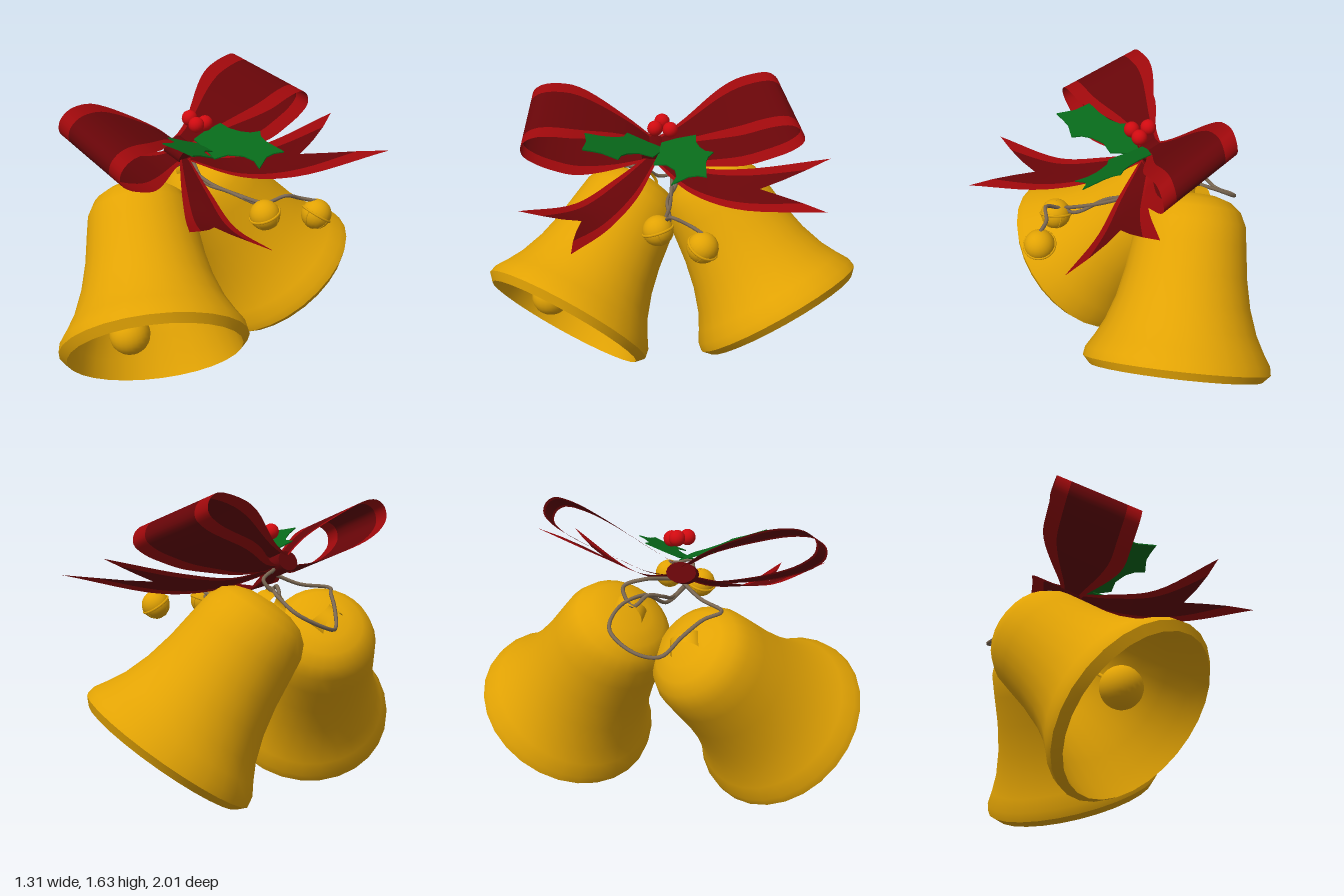
import * as THREE from 'three';
import { toCreasedNormals, mergeGeometries } from 'three/addons/utils/BufferGeometryUtils.js';

const V = (x, y, z) => new THREE.Vector3(x, y, z);
const mat = (color, side = THREE.FrontSide) => {
  const m = new THREE.MeshStandardMaterial({ side });
  m.color.set(color);
  return m;
};
const gold = mat(0xe2a304), goldThin = mat(0xe2a304, THREE.DoubleSide);
const darkRed = mat(0x660508, THREE.DoubleSide), red = mat(0x9c080b, THREE.DoubleSide);
const green = mat(0x08691a), berryRed = mat(0xd00a10), wireGrey = mat(0x7d6a55);

function add(parent, name, geometry, material, position) {
  const mesh = new THREE.Mesh(geometry, material);
  mesh.name = name;
  if (position) mesh.position.copy(position);
  parent.add(mesh);
  return mesh;
}

// Surface patch: point(u, v) with u across and v along
function patch(point, u0, u1, nu, nv) {
  const g = new THREE.PlaneGeometry(1, 1, nu, nv), p = g.attributes.position;
  for (let i = 0; i < p.count; i++) {
    const q = point(u0 + (u1 - u0) * (p.getX(i) + 0.5), p.getY(i) + 0.5);
    p.setXYZ(i, q.x, q.y, q.z);
  }
  g.computeVertexNormals();
  return g;
}

// Ribbon with a dark middle and bright borders
function ribbon(parent, name, point, nv) {
  const borders = [patch(point, 0, 0.17, 1, nv), patch(point, 0.83, 1, 1, nv)];
  add(parent, name + 'Border', mergeGeometries(borders), red);
  add(parent, name + 'Middle', patch(point, 0.17, 0.83, 4, nv), darkRed);
}

function tube(parent, name, pts, radius, material, segments = 70) {
  const curve = new THREE.CatmullRomCurve3(pts.map(p => V(...p)));
  return add(parent, name, new THREE.TubeGeometry(curve, segments, radius, 6), material);
}

// Large bell: mouth at its origin, opening along the given axis
function bell(root, name, mouth, axis, clapper) {
  const g = new THREE.Group();
  g.name = name;
  g.position.copy(mouth);
  axis.normalize();
  g.quaternion.setFromUnitVectors(V(0, -1, 0), axis);
  const outer = [[0.45, -0.035], [0.488, 0.005], [0.48, 0.05], [0.44, 0.115], [0.395, 0.2], [0.35, 0.33], [0.318, 0.48],
    [0.298, 0.64], [0.283, 0.75], [0.25, 0.82], [0.195, 0.865], [0.12, 0.89], [0, 0.9]];
  const inner = [[0, 0.87], [0.11, 0.86], [0.18, 0.835], [0.23, 0.79], [0.26, 0.73], [0.278, 0.63], [0.3, 0.48],
    [0.333, 0.33], [0.38, 0.19], [0.425, 0.07]];
  const profile = [...inner, ...outer].map(p => new THREE.Vector2(...p));
  add(g, 'bellBody', toCreasedNormals(new THREE.LatheGeometry(profile, 28), 0.6), gold);
  // Arched strap on the crown, narrow at the top
  const strap = (u, v) => {
    const a = Math.PI * v, w = 0.024 + 0.022 * Math.cos(a) ** 2;
    return V((u - 0.5) * 2 * w, 0.885 + 0.065 * Math.sin(a), 0.08 * Math.cos(a));
  };
  add(g, 'crownStrap', patch(strap, 0, 1, 2, 12), goldThin);
  root.add(g);
  add(root, 'clapper', new THREE.SphereGeometry(0.104, 24, 16), gold, clapper);
  const top = mouth.clone().addScaledVector(axis, -0.87);
  add(root, 'clapperRod', new THREE.TubeGeometry(new THREE.LineCurve3(clapper, top), 1, 0.009, 8), gold);
}

// Small round bell with an equator band and crossed ribs
function jingleBell(root, position, tilt) {
  const g = new THREE.Group();
  g.name = 'jingleBell';
  g.position.copy(position);
  g.rotation.set(tilt, 0, tilt * 0.6);
  add(g, 'ball', new THREE.SphereGeometry(0.078, 20, 14), gold);
  add(g, 'band', new THREE.TorusGeometry(0.078, 0.007, 6, 28), gold).rotation.x = Math.PI / 2;
  for (const turn of [0, Math.PI / 2]) {
    const rib = add(g, 'rib', new THREE.TorusGeometry(0.077, 0.003, 5, 20, Math.PI), gold);
    rib.rotation.set(Math.PI, turn, 0);
  }
  root.add(g);
}

// Holly leaf: outline in x and z, laid on a sloping sheet
function leaf(root, outline, height) {
  const shape = new THREE.Shape(outline.map(p => new THREE.Vector2(p[0], -p[1])));
  const g = new THREE.ExtrudeGeometry(shape, { depth: 0.006, bevelEnabled: false });
  g.rotateX(-Math.PI / 2);
  const p = g.attributes.position;
  for (let i = 0; i < p.count; i++) p.setY(i, p.getY(i) + height(p.getX(i), p.getZ(i)));
  g.computeVertexNormals();
  add(root, 'hollyLeaf', g, green);
}

// Bow loop: path of [z, y], widening away from the knot, its end slanted by skew
function bowLoop(root, name, path, endX, endZ, skew, shear) {
  const curve = new THREE.CatmullRomCurve3(path.map(([z, y]) => V(0, y, z)));
  ribbon(root, name, (u, v) => {
    const c = curve.getPoint(v);
    const d = Math.abs(c.z - 0.08), reach = d / Math.abs(endZ - 0.08);
    const half = 0.055 + 0.16 * THREE.MathUtils.smoothstep(d, 0.02, 0.48);
    const x = -0.225 + (endX + 0.225) * reach + shear * (c.y - 1.35) * reach;
    const side = 2 * u - 1, w = side * half;
    return V(x + 0.98 * w, c.y - 0.39 * w, c.z + skew * side * reach);
  }, 44);
}

// Swallow-tailed ribbon end between two edge curves
function bowTail(root, name, left, right, notch) {
  const [a, b] = [left, right].map(e => new THREE.CatmullRomCurve3(e.map(p => V(...p))));
  ribbon(root, name, (u, v) => {
    const t = v * (1 - notch * (1 - Math.abs(2 * u - 1)));
    return a.getPoint(t).lerp(b.getPoint(t), u);
  }, 18);
}

export function createModel() {
  const root = new THREE.Group();
  root.name = 'bellsWithBow';

  bell(root, 'frontBell', V(-0.012, 0.355, 0.58), V(0.53, -0.69, 0.5), V(-0.1, 0.44, 0.67));
  bell(root, 'backBell', V(-0.05, 0.355, -0.59), V(0.35, -0.81, -0.48), V(-0.07, 0.355, -0.44));

  // Bow
  bowLoop(root, 'frontLoop', [[0.08, 1.27], [0.2, 1.35], [0.4, 1.43], [0.58, 1.475], [0.7, 1.47], [0.755, 1.43],
    [0.755, 1.375], [0.69, 1.32], [0.55, 1.265], [0.4, 1.23], [0.25, 1.21], [0.08, 1.22]], -0.245, 0.76, 0.022, 0.22);
  bowLoop(root, 'backLoop', [[0.08, 1.27], [-0.1, 1.36], [-0.3, 1.465], [-0.46, 1.53], [-0.57, 1.545], [-0.62, 1.51],
    [-0.63, 1.46], [-0.58, 1.41], [-0.45, 1.35], [-0.25, 1.28], [-0.1, 1.23], [0.08, 1.22]], -0.135, -0.63, -0.038, 0.12);
  bowTail(root, 'backTail', [[-0.2, 1.22, 0.03], [-0.1, 1.18, -0.15], [0.02, 1.21, -0.38], [0.17, 1.31, -0.79]],
    [[-0.18, 1.2, 0.1], [0.05, 1.1, -0.08], [0.25, 1.08, -0.3], [0.595, 1.19, -0.7]], 0.25);
  bowTail(root, 'frontTail', [[-0.2, 1.22, 0.12], [-0.05, 1.14, 0.3], [0.13, 1.08, 0.5], [0.37, 1.14, 0.77]],
    [[-0.18, 1.2, 0.07], [0.05, 1.08, 0.18], [0.3, 1.01, 0.33], [0.65, 1.03, 0.51]], 0.25);
  const knot = add(root, 'knot', new THREE.CylinderGeometry(0.075, 0.075, 0.11, 16), darkRed, V(-0.225, 1.24, 0.08));
  knot.rotation.z = Math.PI / 2 - 0.4;
  knot.scale.x = 0.7;

  // Holly
  leaf(root, [[-0.16, 0.05], [-0.15, -0.03], [-0.12, -0.13], [-0.06, -0.125], [0, -0.14], [0.05, -0.165], [0.085, -0.205],
    [0.11, -0.175], [0.15, -0.16], [0.27, -0.155], [0.235, -0.115], [0.218, -0.07], [0.235, 0.02], [0.18, -0.01],
    [0.12, -0.005], [0.05, 0.035], [0.01, 0.1], [-0.07, 0.07]],
  (x, z) => 1.255 - 0.26 * (x - 0.27) - 0.35 * (z + 0.15));
  leaf(root, [[-0.14, 0.05], [-0.155, 0.12], [-0.19, 0.23], [-0.13, 0.25], [-0.09, 0.3], [-0.06, 0.37], [-0.04, 0.45],
    [0.05, 0.44], [0.15, 0.46], [0.135, 0.41], [0.125, 0.36], [0.14, 0.28], [0.09, 0.265], [0.045, 0.23], [0.005, 0.17],
    [0, 0.1], [-0.08, 0.06]],
  (x, z) => 1.37 - 0.15 * (x - 0.15) + 0.33 * (z - 0.46));
  for (const [x, y, z] of [[-0.19, 1.41, 0.045], [-0.12, 1.385, 0.005], [-0.115, 1.395, 0.085]]) {
    add(root, 'berry', new THREE.SphereGeometry(0.041, 16, 12), berryRed, V(x, y, z));
  }

  // Jingle bells and the wires that tie everything together
  jingleBell(root, V(0.32, 1, 0.09), 0.3);
  jingleBell(root, V(0.495, 0.98, -0.12), -0.5);
  tube(root, 'frontWire', [[0.32, 1.07, 0.09], [0.25, 1.02, 0.03], [0.05, 1.05, 0.03], [-0.15, 1.05, -0.02],
    [-0.3, 1.14, -0.1], [-0.43, 1.12, -0.2], [-0.56, 1.05, -0.22], [-0.635, 0.97, -0.08], [-0.61, 0.95, 0.04],
    [-0.54, 1.03, 0.13], [-0.45, 1.09, 0.22], [-0.38, 1.11, 0.3], [-0.28, 1.13, 0.18], [-0.2, 1.18, 0.08]], 0.01, wireGrey, 90);
  tube(root, 'backWire', [[0.49, 1.05, -0.12], [0.43, 1.07, -0.06], [0.4, 1.1, 0.02], [0.3, 1.05, 0.05],
    [0.1, 1.04, 0.02], [-0.1, 1.06, 0], [-0.25, 1.12, -0.02], [-0.33, 1.15, -0.08], [-0.39, 1.11, -0.14],
    [-0.34, 1.19, -0.2], [-0.32, 1.23, -0.1], [-0.2, 1.2, 0.04]], 0.01, wireGrey, 90);
  return root;
}
